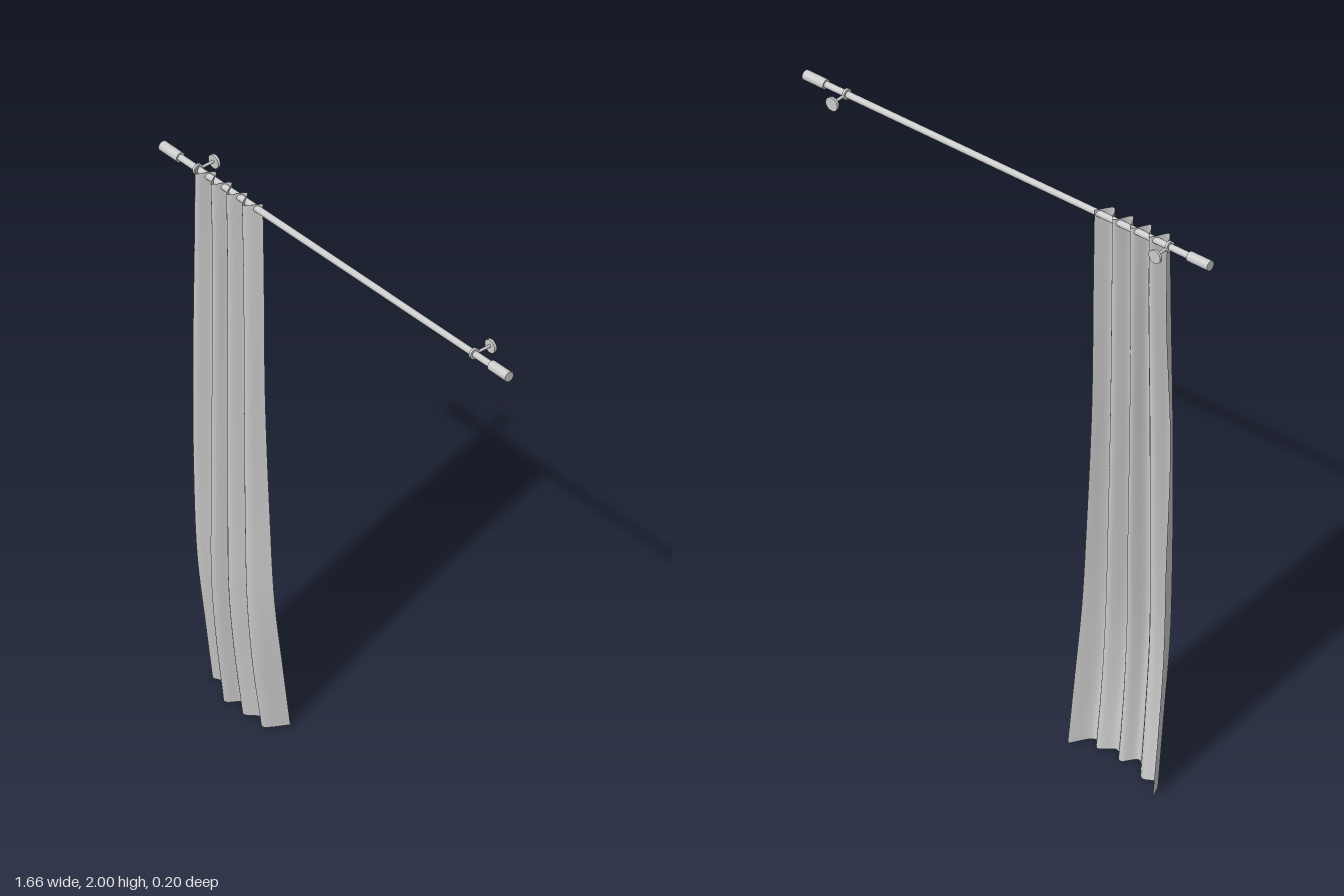
import * as THREE from 'three';

const ROD_Y = 1.978, ROD_Z = 0.053;
const mat = new THREE.MeshStandardMaterial({ color: 0xcccccc });
const clothMat = new THREE.MeshStandardMaterial({ color: 0xcccccc, side: THREE.DoubleSide });

function add(parent, geometry, name, x, y, z, material = mat) {
  const mesh = new THREE.Mesh(geometry, material);
  mesh.name = name;
  mesh.position.set(x, y, z);
  parent.add(mesh);
  return mesh;
}

// Horizontal cross-sections of the cloth: y, then x and z of each fold
// (left edge, front, rear, front, rear, front, rear, front, right edge).
const SECTIONS = [
  { y: 0, x: [-0.718, -0.67, -0.62, -0.545, -0.505, -0.455, -0.405, -0.365, -0.315],
    z: [-0.095, -0.015, -0.03, 0.043, 0.0, 0.043, 0.008, 0.043, -0.03] },
  { y: 0.25, x: [-0.708, -0.66, -0.615, -0.542, -0.503, -0.457, -0.408, -0.37, -0.319],
    z: [-0.053, 0.025, 0.0, 0.077, 0.025, 0.077, 0.03, 0.077, 0.0] },
  { y: 0.5, x: [-0.7, -0.655, -0.61, -0.541, -0.503, -0.46, -0.412, -0.375, -0.325],
    z: [-0.02, 0.06, 0.025, 0.098, 0.038, 0.098, 0.042, 0.096, 0.027] },
  { y: 0.8, x: [-0.692, -0.65, -0.606, -0.541, -0.506, -0.465, -0.421, -0.381, -0.338],
    z: [0.0, 0.078, 0.032, 0.099, 0.038, 0.098, 0.042, 0.098, 0.034] },
  { y: 1.25, x: [-0.682, -0.642, -0.602, -0.543, -0.514, -0.472, -0.434, -0.391, -0.357],
    z: [0.033, 0.088, 0.036, 0.094, 0.038, 0.093, 0.04, 0.093, 0.037] },
  { y: 1.7, x: [-0.675, -0.636, -0.598, -0.547, -0.52, -0.477, -0.441, -0.4, -0.364],
    z: [0.022, 0.088, 0.034, 0.089, 0.036, 0.088, 0.038, 0.088, 0.036] },
  { y: 1.995, x: [-0.664, -0.63, -0.595, -0.555, -0.52, -0.48, -0.445, -0.405, -0.367],
    z: [0.038, 0.09, 0.036, 0.09, 0.036, 0.09, 0.036, 0.09, 0.038] },
];

// Pleated cloth lofted smoothly across the folds and up through the sections
function clothGeometry(across = 64, up = 28) {
  const columns = SECTIONS[0].x.map((_, i) =>
    new THREE.CatmullRomCurve3(SECTIONS.map(s => new THREE.Vector3(s.x[i], s.y, s.z[i])), false, 'centripetal'));
  const geometry = new THREE.PlaneGeometry(1, 1, across, up);
  const pos = geometry.attributes.position;
  for (let j = 0; j <= up; j++) {
    const row = new THREE.CatmullRomCurve3(columns.map(c => c.getPoint(1 - j / up)), false, 'centripetal');
    for (let i = 0; i <= across; i++) {
      const p = row.getPoint(i / across);
      pos.setXYZ(j * (across + 1) + i, p.x, p.y, p.z);
    }
  }
  geometry.computeVertexNormals();
  return geometry;
}

// Wall bracket: wall disc, stem and a collar around the rod
function bracket(x, name) {
  const group = new THREE.Group();
  group.name = name;
  group.position.set(x, ROD_Y, 0);
  add(group, new THREE.CylinderGeometry(0.024, 0.024, 0.009, 32), 'wallPlate', 0, -0.002, -0.0155).rotation.x = Math.PI / 2;
  add(group, new THREE.CylinderGeometry(0.005, 0.005, 0.055, 16), 'stem', 0, 0, 0.0145).rotation.x = Math.PI / 2;
  const collar = new THREE.Shape().absarc(0, 0, 0.019, 0, Math.PI * 2);
  collar.holes.push(new THREE.Path().absarc(0, 0, 0.0105, 0, Math.PI * 2, true));
  const ring = new THREE.ExtrudeGeometry(collar, { depth: 0.009, bevelEnabled: false, curveSegments: 24 });
  ring.translate(0, 0, -0.0045);
  add(group, ring, 'collar', 0, 0, ROD_Z).rotation.y = Math.PI / 2;
  return group;
}

export function createModel() {
  const model = new THREE.Group();
  model.name = 'curtainAndRod';

  // Rod and end caps
  add(model, new THREE.CylinderGeometry(0.0115, 0.0115, 1.6, 24), 'rod', 0, ROD_Y, ROD_Z).rotation.z = Math.PI / 2;
  for (const side of [-1, 1]) {
    const label = side > 0 ? 'left' : 'right';
    add(model, new THREE.CylinderGeometry(0.0175, 0.0175, 0.085, 24), label + 'EndCap', side * 0.7875, ROD_Y, ROD_Z)
      .rotation.z = Math.PI / 2;
    model.add(bracket(side * 0.662, label + 'Bracket'));
  }

  add(model, clothGeometry(), 'curtain', 0, 0, 0, clothMat);
  return model;
}
